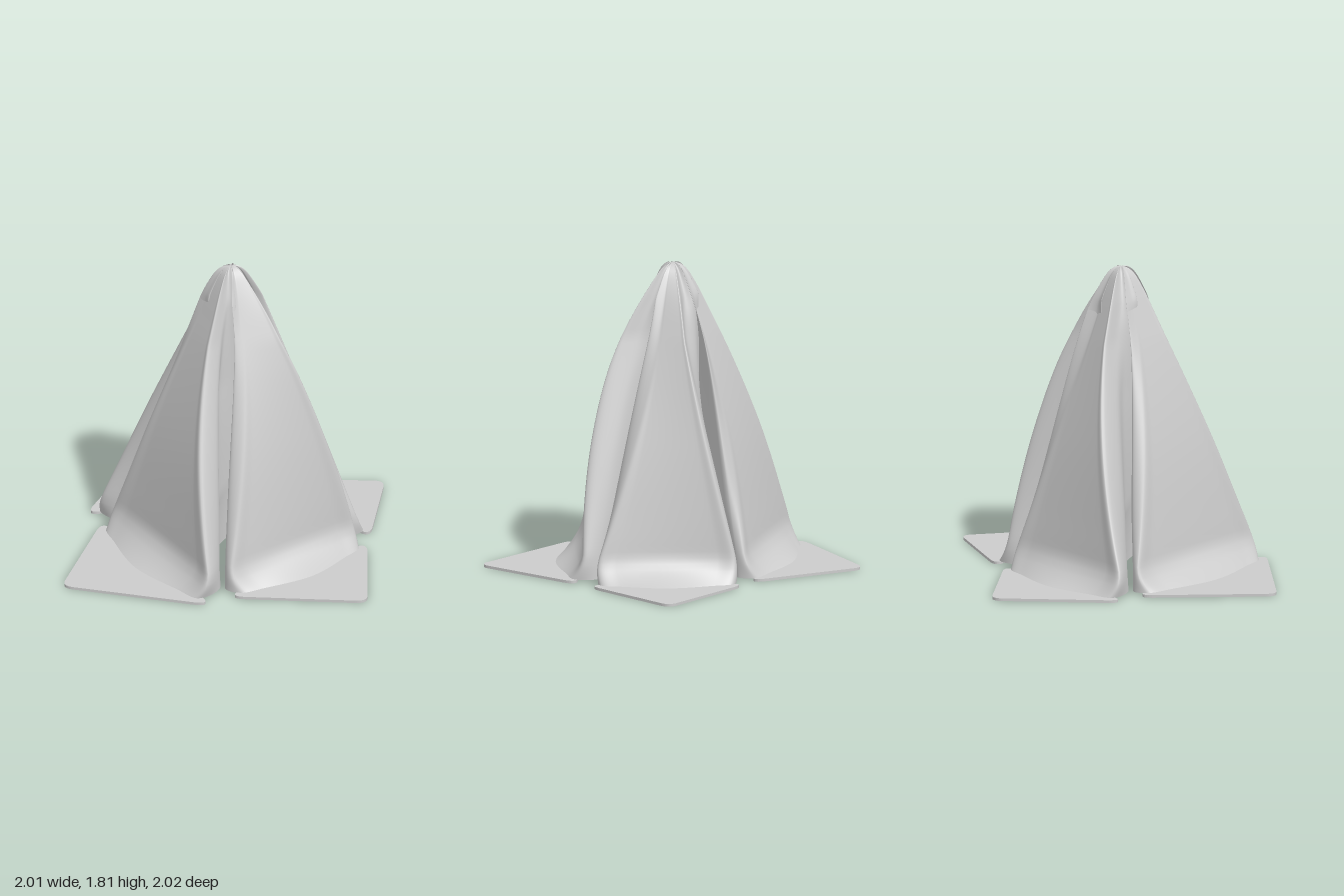
import * as THREE from 'three';
import { mergeVertices } from 'three/addons/utils/BufferGeometryUtils.js';

const V2 = (x, z) => new THREE.Vector2(x, z);
const PEAK = V2(-0.06, 0);

// Four folds of the cloth, anticlockwise from above: ground corners (x, z), seen from
// outside as left, tip, right. "full" makes the right-hand ridge bulge more. "valley" is
// the bottom of the groove before the fold, from the peak; "gap" is half its width.
const FOLDS = [
  { left: V2(-0.81, 0.2), tip: V2(-0.64, 1.02), right: V2(0.25, 0.81), full: 0, valley: V2(-0.09, 0.11), gap: 0.045 },
  { left: V2(0.27, 0.68), tip: V2(1.03, 0.34), right: V2(0.68, -0.31), full: 1, valley: V2(0.08, 0.08), gap: 0.075 },
  { left: V2(0.66, -0.38), tip: V2(0.41, -1.03), right: V2(-0.22, -0.72), full: 1, valley: V2(0.09, -0.08), gap: 0.03 },
  { left: V2(-0.26, -0.66), tip: V2(-1.01, -0.62), right: V2(-0.94, 0.17), full: 0, valley: V2(-0.12, -0.1), gap: 0.015 },
];

// Ridge profile: (radius of a straight ridge, height, radius of a full ridge)
const PROFILE = new THREE.CatmullRomCurve3([
  [1, 0.014, 1], [0.98, 0.1, 0.98], [0.84, 0.4, 0.9], [0.65, 0.8, 0.76], [0.44, 1.2, 0.57],
  [0.27, 1.5, 0.36], [0.15, 1.7, 0.18], [0.09, 1.775, 0.1], [0.04, 1.805, 0.045], [0, 1.81, 0],
].map((p) => new THREE.Vector3(...p)));

// Ground corner relative to the peak, scaled and turned as the ridge climbs
function ridgePoint(corner, scale, turn) {
  return corner.clone().sub(PEAK).multiplyScalar(0.93 * scale).rotateAround(V2(0, 0), turn);
}

// One horizontal section of the cloth: a closed curve through all folds
function section(t) {
  const { x: straight, y, z: full } = PROFILE.getPoint(t);
  const climb = Math.min(1, y / 1.4);
  const flare = 0.32 * Math.max(0, 1 - y / 0.18) ** 2;
  const curl = 0.06 * Math.max(0, 1 - y / 0.4);
  const folds = FOLDS.map((f) => ({
    left: ridgePoint(f.left, straight, -0.33 * climb),
    right: ridgePoint(f.right, f.full ? full : straight, 0.4 * climb),
    tip: f.tip.clone().sub(PEAK),
  }));
  const points = [];
  const add = (p, lift) => points.push(new THREE.Vector3(
    p.x + PEAK.x, y + lift * (1 - y / 1.81), p.y + PEAK.y));

  folds.forEach((f, i) => {
    // centre line of the gap, from the valley to the midpoint between two fold ends
    const right = folds[(i + 3) % 4].right;
    const { valley: groove, gap } = FOLDS[i];
    const valley = groove.clone().multiplyScalar(Math.min(1, straight * 5));
    const mouth = right.clone().lerp(f.left, 0.5);
    const line = mouth.clone().sub(valley).normalize();
    const across = V2(line.y, -line.x);
    // side walls keep close to the gap, so the fold ends are round
    const spread = 0.5 * right.distanceTo(f.left);
    const wall = (along, offset, sign) => valley.clone().lerp(mouth, along)
      .addScaledVector(across, sign * offset);
    const inner = (gap + curl) * Math.min(1, straight * 2);
    const outer = Math.min(0.014 + 0.35 * climb * spread, 0.06);
    add(wall(0.84, outer, -1), 0);
    add(wall(0.4, inner, -1), 0.02);
    add(valley, 0.08);
    add(wall(0.4, inner, 1), 0.02);
    add(wall(0.84, outer, 1), 0);
    // outer panel, sweeping out onto the ground
    [0, 0.13, 0.5, 0.87, 1].forEach((k) => {
      const sweep = flare * Math.sin(Math.PI * (0.12 + 0.76 * k));
      add(f.left.clone().lerp(f.right, k).lerp(f.tip, sweep), 0);
    });
  });
  return new THREE.CatmullRomCurve3(points, true, 'centripetal');
}

// Hanging cloth lofted through its sections
function drapeGeometry() {
  const rows = 72, cols = 320, positions = [], index = [];
  for (let r = 0; r < rows; r++) {
    const curve = section(r / rows);
    for (let c = 0; c < cols; c++) positions.push(...curve.getPoint(c / cols).toArray());
  }
  for (let c = 0; c < cols; c++) positions.push(PEAK.x, 1.81, PEAK.y);
  for (let r = 0; r < rows; r++) {
    for (let c = 0; c < cols; c++) {
      const n = (c + 1) % cols;
      const a = r * cols + c, b = r * cols + n, d = a + cols, e = b + cols;
      index.push(a, b, e);
      if (r < rows - 1) index.push(a, e, d);
    }
  }
  let geometry = new THREE.BufferGeometry();
  geometry.setAttribute('position', new THREE.Float32BufferAttribute(positions, 3));
  geometry.setIndex(index);
  geometry = mergeVertices(geometry);
  geometry.computeVertexNormals();
  return geometry;
}

// Flat cloth corner on the ground, with rounded corners
function flapGeometry({ left, tip, right }) {
  const corners = [left, tip, right];
  const shape = new THREE.Shape();
  corners.forEach((p, i) => {
    const step = (q) => p.clone().add(q.clone().sub(p).setLength(i === 1 ? 0.07 : 0.12));
    const start = step(corners[(i + 2) % 3]);
    const end = step(corners[(i + 1) % 3]);
    if (i === 0) shape.moveTo(start.x, start.y);
    else shape.lineTo(start.x, start.y);
    shape.quadraticCurveTo(p.x, p.y, end.x, end.y);
  });
  shape.closePath();
  const geometry = new THREE.ExtrudeGeometry(shape, { depth: 0.016, bevelEnabled: false });
  return geometry.rotateX(Math.PI / 2).translate(0, 0.016, 0);
}

export function createModel() {
  const model = new THREE.Group();
  model.name = 'drapedCloth';
  const material = new THREE.MeshStandardMaterial({ color: 0xcccccc, side: THREE.DoubleSide });
  const add = (name, geometry) => {
    const mesh = new THREE.Mesh(geometry, material);
    mesh.name = name;
    model.add(mesh);
  };
  add('hangingFolds', drapeGeometry());
  ['front', 'left', 'back', 'right'].forEach((side, i) => add(side + 'CornerFlap', flapGeometry(FOLDS[i])));
  return model;
}
